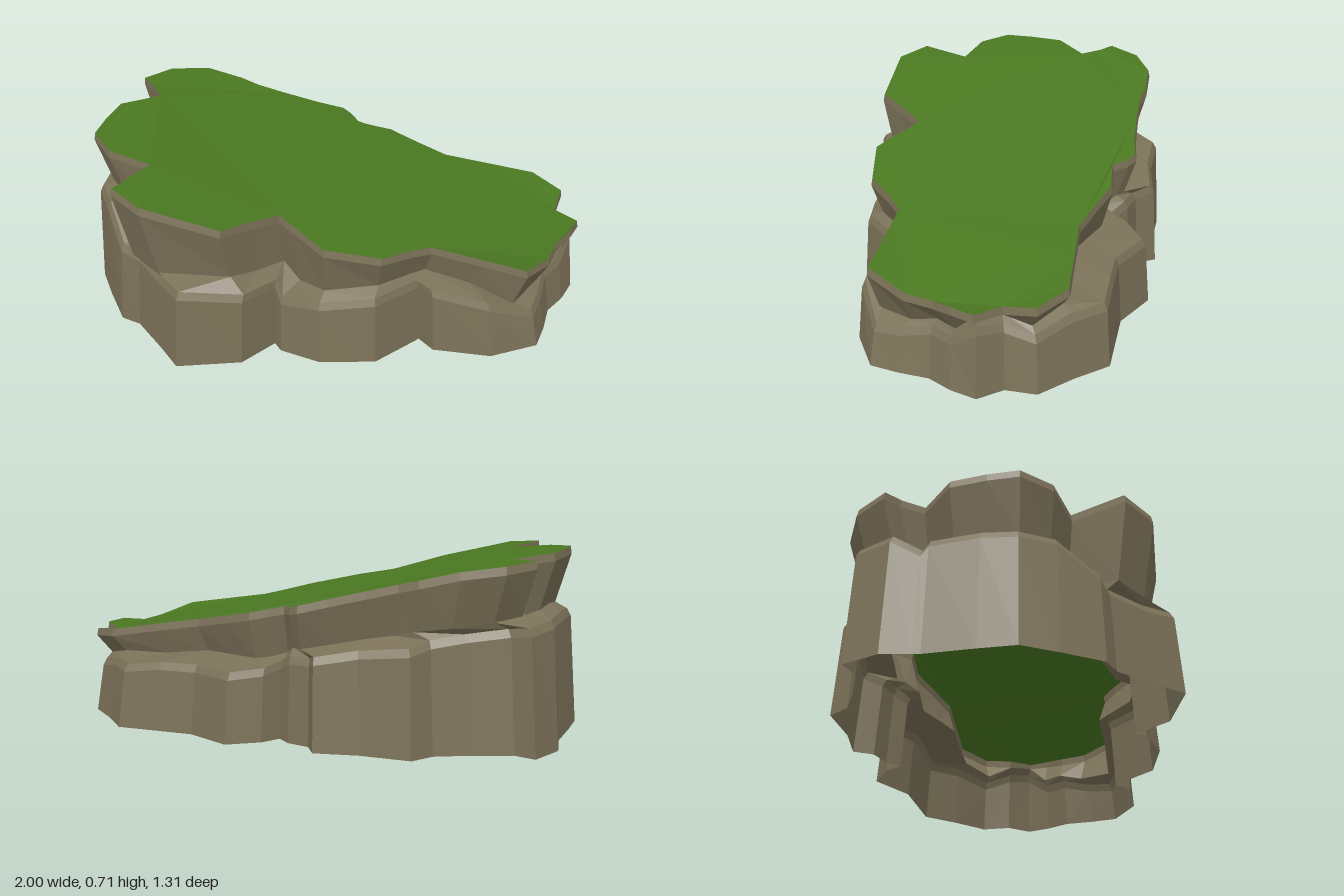
import * as THREE from 'three';

// Grass outline, x and z, clockwise from the back right corner
const RIM = [
  -0.8, -0.51, -0.65, -0.57, -0.5, -0.565, -0.42, -0.545, -0.3, -0.54, -0.15, -0.54, -0.04, -0.55,
  0, -0.52, 0.04, -0.465, 0.11, -0.465, 0.18, -0.47, 0.3, -0.42, 0.43, -0.37, 0.62, -0.37,
  0.81, -0.37, 0.93, -0.27, 0.9, -0.15, 0.99, -0.06, 0.96, 0.02, 0.9, 0.1, 0.87, 0.21,
  0.78, 0.36, 0.6, 0.345, 0.41, 0.33, 0.34, 0.38, 0.23, 0.48, 0.015, 0.515, -0.1, 0.43,
  -0.175, 0.375, -0.27, 0.47, -0.36, 0.57, -0.66, 0.565, -0.79, 0.47, -0.695, 0.27, -0.87, 0.22,
  -0.96, 0.11, -0.95, -0.01, -0.925, -0.145, -0.79, -0.26, -0.84, -0.34, -0.89, -0.39,
];

// Foot of the boulders, x and z, and the height of their ledge, column by column with the rim
const BASE = [
  -0.84, -0.47, 0.46, -0.68, -0.52, 0.44, -0.56, -0.57, 0.42, -0.5, -0.65, 0.4, -0.3, -0.635, 0.38,
  -0.13, -0.655, 0.35, -0.09, -0.58, 0.33, 0, -0.55, 0.33, 0.05, -0.5, 0.3, 0.1, -0.57, 0.28,
  0.22, -0.64, 0.27, 0.4, -0.54, 0.27, 0.56, -0.53, 0.27, 0.72, -0.52, 0.25, 0.82, -0.4, 0.25,
  0.94, -0.28, 0.22, 0.93, -0.16, 0.25, 1, -0.07, 0.27, 0.96, 0.03, 0.2, 0.9, 0.12, 0.2,
  0.88, 0.24, 0.17, 0.85, 0.35, 0.16, 0.67, 0.44, 0.24, 0.44, 0.43, 0.28, 0.38, 0.37, 0.28,
  0.22, 0.53, 0.29, 0, 0.56, 0.27, -0.16, 0.51, 0.25, -0.19, 0.47, 0.3, -0.3, 0.6, 0.31,
  -0.55, 0.655, 0.34, -0.64, 0.55, 0.33, -0.76, 0.42, 0.34, -0.84, 0.39, 0.36, -0.93, 0.24, 0.46,
  -1, 0.11, 0.46, -0.99, -0.03, 0.47, -0.97, -0.22, 0.46, -0.975, -0.25, 0.42, -0.985, -0.36, 0.48,
  -0.92, -0.5, 0.47,
];

// Height of the sloping top along x
const SLOPE = [[-0.96, 0.71], [-0.65, 0.675], [0, 0.515], [0.4, 0.43], [1, 0.335]];
function topHeight(x) {
  let i = 0;
  while (i < SLOPE.length - 2 && x > SLOPE[i + 1][0]) i++;
  const [x0, y0] = SLOPE[i], [x1, y1] = SLOPE[i + 1];
  const dip = x > 0.84 && x < 0.91 ? 0.025 : 0;
  return y0 + (y1 - y0) * (x - x0) / (x1 - x0) - dip;
}

// Flat-shaded wall through a list of closed rings, from top to bottom
function wallGeometry(rings) {
  const n = rings[0].length, index = [];
  for (let r = 0; r < rings.length - 1; r++) {
    for (let i = 0; i < n; i++) {
      const a = r * n + i, b = r * n + (i + 1) % n;
      index.push(a, b, a + n, b, b + n, a + n);
    }
  }
  const indexed = new THREE.BufferGeometry();
  indexed.setAttribute('position', new THREE.Float32BufferAttribute(rings.flat(2), 3));
  indexed.setIndex(index);
  const geometry = indexed.toNonIndexed();
  geometry.computeVertexNormals();
  return geometry;
}

export function createModel() {
  const model = new THREE.Group();
  model.name = 'rockPlateau';
  const grass = new THREE.MeshStandardMaterial({ color: 0x4a7821, side: THREE.DoubleSide });
  grass.name = 'grassGreen';
  const rock = new THREE.MeshStandardMaterial({ color: 0x7c7259, side: THREE.DoubleSide });
  rock.name = 'rockBrown';

  const columns = [];
  for (let i = 0; i < RIM.length / 2; i++) {
    const [x, z] = RIM.slice(i * 2, i * 2 + 2);
    const [bx, bz, ledge] = BASE.slice(i * 3, i * 3 + 3);
    columns.push({ x, z, y: topHeight(x), bx, bz, ledge });
  }

  // Sloping grass sheet
  const outline = new THREE.Shape(columns.map(c => new THREE.Vector2(c.x, -c.z)));
  let grassGeometry = new THREE.ShapeGeometry(outline).rotateX(-Math.PI / 2);
  const points = grassGeometry.attributes.position;
  for (let i = 0; i < points.count; i++) points.setY(i, topHeight(points.getX(i)));
  grassGeometry = grassGeometry.toNonIndexed();
  grassGeometry.computeVertexNormals();
  const grassTop = new THREE.Mesh(grassGeometry, grass);
  grassTop.name = 'grassTop';

  // Upper cliff: narrow lip, then a wall leaning inward down to the ledge
  const neck = columns.map(c => [c.x * 0.945, c.ledge + 0.025, c.z * 0.93]);
  const upperCliff = new THREE.Mesh(wallGeometry([
    columns.map(c => [c.x, c.y, c.z]),
    columns.map(c => [c.x * 1.005, c.y - 0.03, c.z * 1.012]),
    neck,
  ]), rock);
  upperCliff.name = 'upperCliff';

  // Lower boulders: ledge, chipped edge and splayed faces, open underneath
  const boulders = new THREE.Mesh(wallGeometry([
    neck,
    columns.map(c => [c.bx * 0.955, c.ledge, c.bz * 0.94]),
    columns.map(c => [c.bx * 0.97, c.ledge - 0.03, c.bz * 0.965]),
    columns.map(c => [c.bx, 0, c.bz]),
  ]), rock);
  boulders.name = 'lowerBoulders';

  model.add(grassTop, upperCliff, boulders);
  return model;
}
